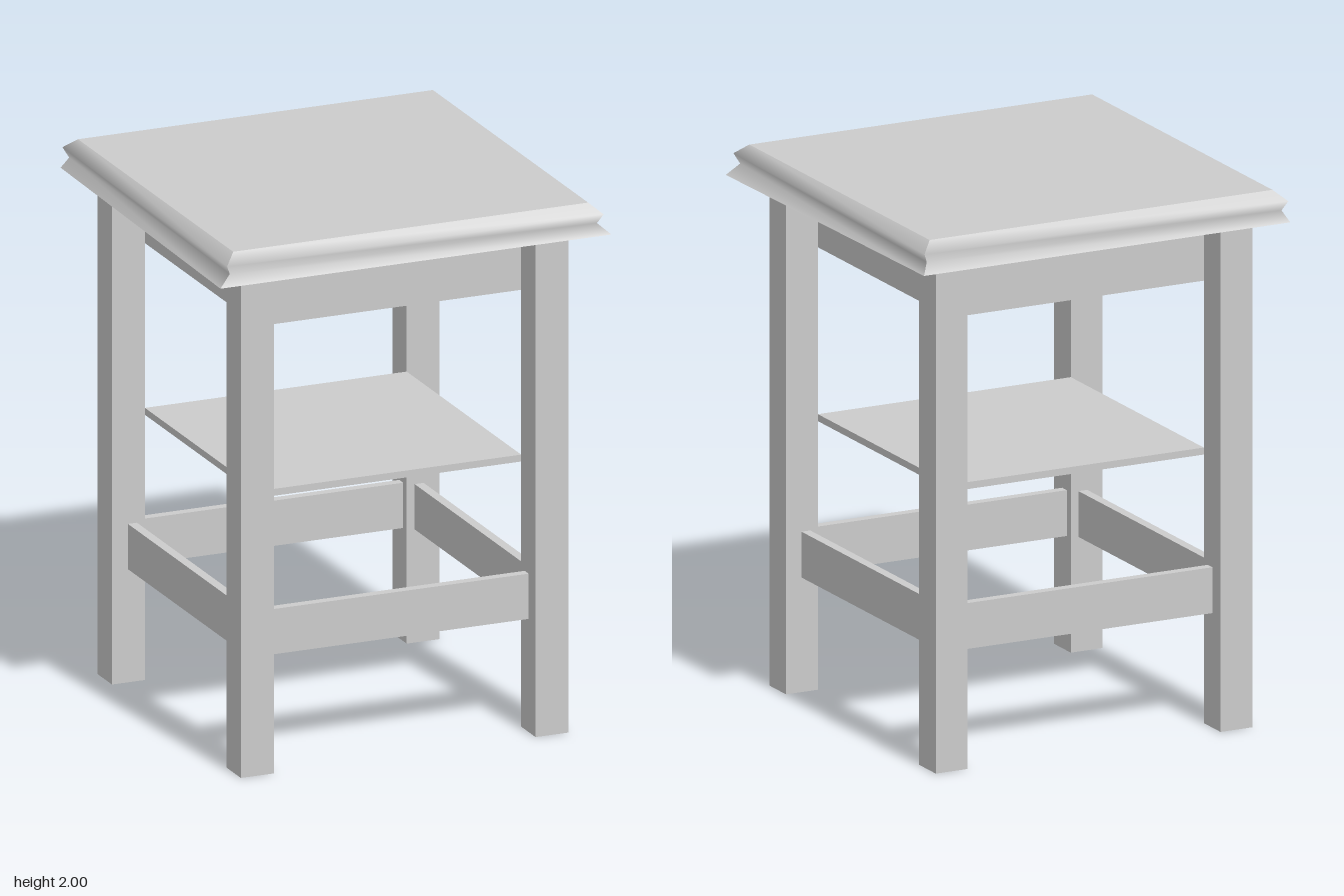
import * as THREE from 'three';

const material = new THREE.MeshStandardMaterial({ color: 0xcccccc });

function addBox(parent, name, size, position) {
  const mesh = new THREE.Mesh(new THREE.BoxGeometry(...size), material);
  mesh.name = name;
  mesh.position.set(...position);
  parent.add(mesh);
}

function addSurface(parent, name, points, index) {
  const geometry = new THREE.BufferGeometry().setFromPoints(points);
  geometry.setIndex(index);
  geometry.computeVertexNormals();
  const mesh = new THREE.Mesh(geometry, material);
  mesh.name = name;
  parent.add(mesh);
}

// Moulding profile from top to bottom; the lower lip flares wider at the front
const PROFILE = [
  { y: 2.0, half: 0.69, front: 0.69 },
  { y: 1.963, half: 0.732, front: 0.732 },
  { y: 1.927, half: 0.714, front: 0.714 },
  { y: 1.885, half: 0.737, front: 0.76 },
];

// The four corners of one moulding level
const ring = ({ y, half, front }) => [
  new THREE.Vector3(front, y, half),
  new THREE.Vector3(half, y, -half),
  new THREE.Vector3(-half, y, -half),
  new THREE.Vector3(-front, y, half),
];

function createTableTop() {
  const top = new THREE.Group();
  top.name = 'tableTop';
  const rings = PROFILE.map(ring);
  addSurface(top, 'topSurface', rings[0], [0, 1, 2, 0, 2, 3]);
  addSurface(top, 'topUnderside', rings[rings.length - 1], [0, 2, 1, 0, 3, 2]);

  // Each side is smooth along its profile, with sharp mitred corners
  ['right', 'back', 'left', 'front'].forEach((_, side) => {
    const points = rings.flatMap((r) => [r[side], r[(side + 1) % 4]]);
    const index = [];
    for (let i = 0; i < rings.length - 1; i++) {
      const a = 2 * i;
      index.push(a, a + 2, a + 3, a, a + 3, a + 1);
    }
    addSurface(top, 'edgeMoulding', points, index);
  });
  return top;
}

export function createModel() {
  const table = new THREE.Group();
  table.name = 'sideTable';
  table.add(createTableTop());

  const inner = 0.509; // inner faces of the legs
  const outer = 0.637; // outer faces of the legs
  const legWidth = outer - inner;
  const legCentre = (outer + inner) / 2;
  const legHeight = 1.885;

  // Legs
  for (const x of [-1, 1]) {
    for (const z of [-1, 1]) {
      addBox(table, 'leg', [legWidth, legHeight, legWidth],
        [x * legCentre, legHeight / 2, z * legCentre]);
    }
  }

  // Closed apron box and thin shelf, fitted between the legs
  addBox(table, 'apron', [2 * inner, 0.243, 2 * inner], [0, 1.7625, 0]);
  addBox(table, 'shelf', [2 * inner, 0.026, 2 * inner], [0, 1.009, 0]);

  // Lower stretchers
  for (const s of [-1, 1]) {
    addBox(table, 'stretcher', [2 * inner, 0.17, 0.035], [0, 0.51, s * 0.5575]);
    addBox(table, 'stretcher', [0.035, 0.17, 2 * inner], [s * 0.5575, 0.51, 0]);
  }
  return table;
}
